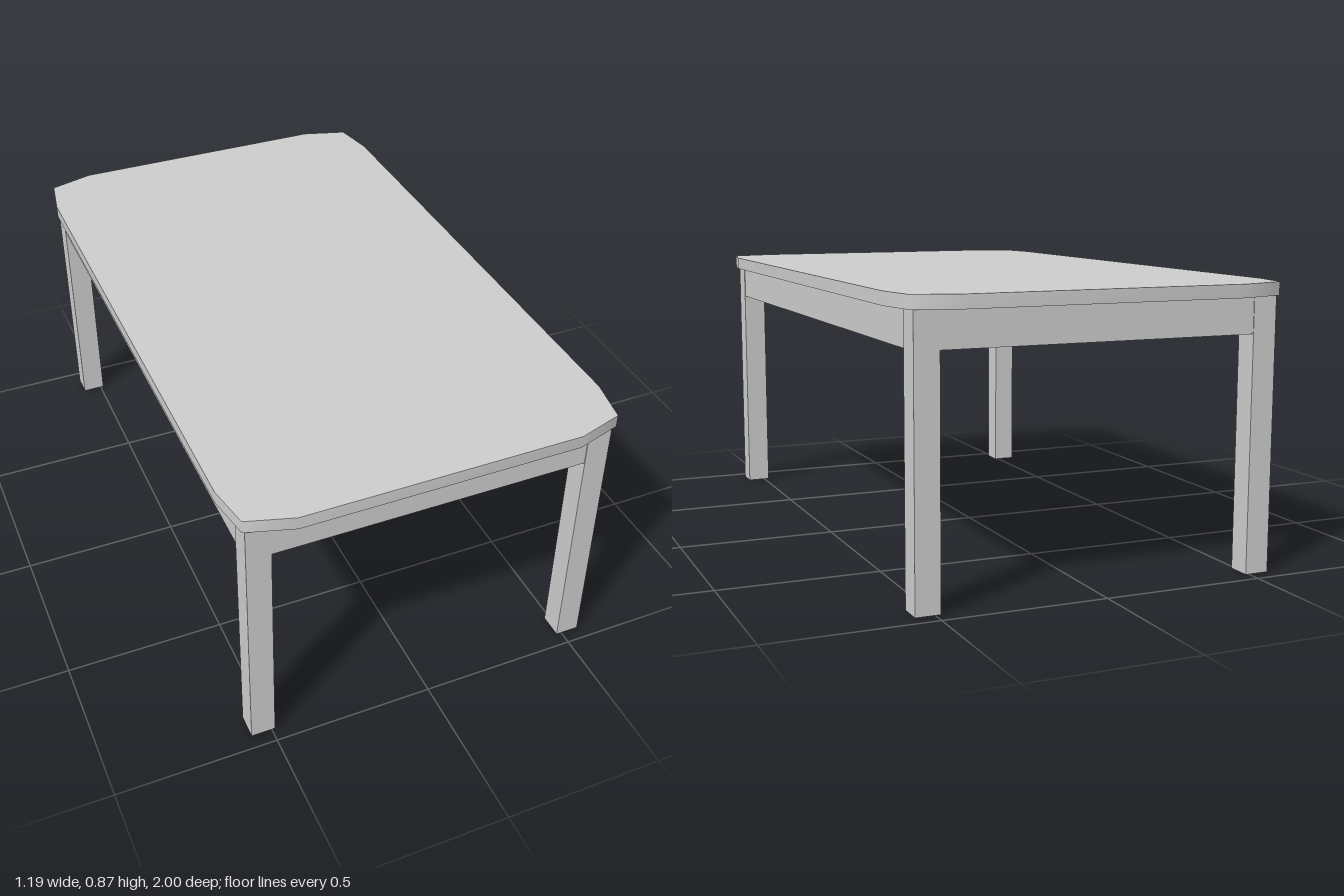
import * as THREE from 'three';
import { toCreasedNormals } from 'three/addons/utils/BufferGeometryUtils.js';

const LEG = 0.075, UNDER = 0.828, TOP = 0.868, APRON_LOW = 0.718, APRON_T = 0.04;
// Leg centre lines; the frame sits a hair towards -x
const LEFT = 0.521, RIGHT = -0.527, FRONT = 0.919, BACK = -0.916;

export function createModel() {
  const group = new THREE.Group();
  const grey = new THREE.MeshStandardMaterial({ color: 0xcccccc });
  const thinGrey = new THREE.MeshStandardMaterial({ color: 0xcccccc, side: THREE.DoubleSide });
  const legGrey = new THREE.MeshStandardMaterial({ color: 0xcccccc, flatShading: true, side: THREE.DoubleSide });

  const add = (name, geometry, material, x, y, z) => {
    const mesh = new THREE.Mesh(geometry, material);
    mesh.name = name;
    mesh.position.set(x, y, z);
    group.add(mesh);
  };

  // Tabletop outline: rectangle with faceted corners, mirrored from one corner
  const corner = [[0.43, 1], [0.572, 0.957], [0.597, 0.82]];
  const mirror = (sx, sz) => corner.map(([x, z]) => new THREE.Vector2(x * sx, z * sz));
  const outline = [
    ...mirror(1, 1), ...mirror(1, -1).reverse(),
    ...mirror(-1, -1), ...mirror(-1, 1).reverse(),
  ];

  // Tabletop: a flat sheet with a rim turned down, open underneath
  const sheet = new THREE.ShapeGeometry(new THREE.Shape(outline));
  sheet.rotateX(-Math.PI / 2);
  add('tabletop', sheet, thinGrey, 0, TOP, 0);

  const n = outline.length;
  const rim = new THREE.CylinderGeometry(1, 1, TOP - UNDER, n, 1, true);
  const pos = rim.attributes.position;
  for (let i = 0; i < pos.count; i++) {
    const p = outline[(i % (n + 1)) % n];
    pos.setX(i, p.x);
    pos.setZ(i, p.y);
  }
  add('tabletopRim', toCreasedNormals(rim, 1.2), thinGrey, 0, (TOP + UNDER) / 2, 0);

  // Legs: square tubes, open at the foot
  const leg = new THREE.CylinderGeometry(LEG / Math.SQRT2, LEG / Math.SQRT2, UNDER, 4, 1, true);
  leg.rotateY(Math.PI / 4);
  for (const [xName, x] of [['Left', LEFT], ['Right', RIGHT]])
    for (const [zName, z] of [['front', FRONT], ['back', BACK]])
      add(`${zName}${xName}Leg`, leg, legGrey, x, UNDER / 2, z);

  // Aprons: rails between the legs, nearly flush with their outer faces
  const height = UNDER - APRON_LOW, y = (UNDER + APRON_LOW) / 2;
  const shift = (LEG - APRON_T) / 2 - 0.002;
  const endRail = new THREE.BoxGeometry(LEFT - RIGHT - LEG, height, APRON_T);
  const sideRail = new THREE.BoxGeometry(APRON_T, height, FRONT - BACK - LEG);
  const midX = (LEFT + RIGHT) / 2, midZ = (FRONT + BACK) / 2;
  add('frontApron', endRail, grey, midX, y, FRONT + shift);
  add('backApron', endRail, grey, midX, y, BACK - shift);
  add('leftApron', sideRail, grey, LEFT + shift, y, midZ);
  add('rightApron', sideRail, grey, RIGHT - shift, y, midZ);

  return group;
}
